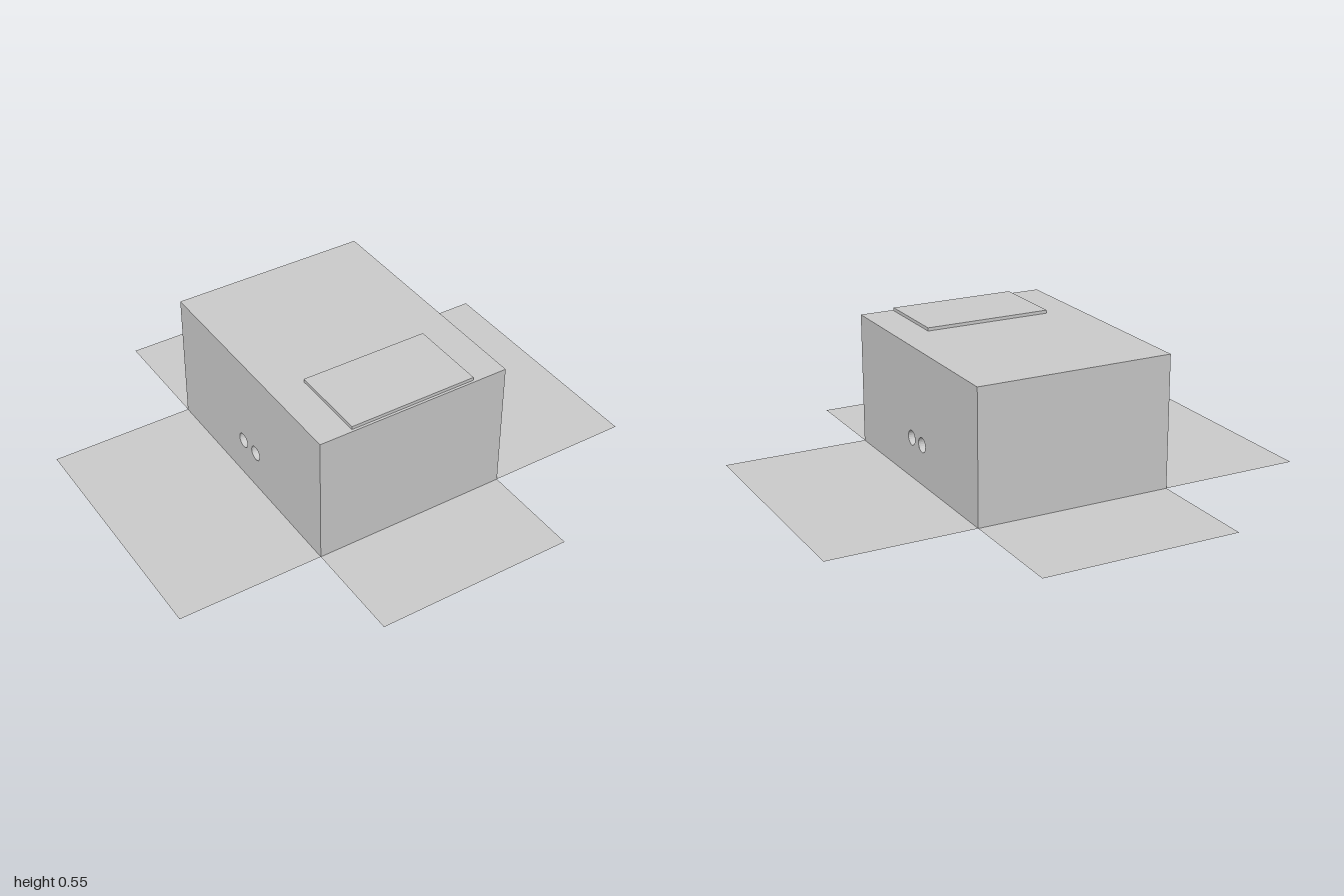
import * as THREE from 'three';

const X0 = -0.41, X1 = 0.4, Z0 = -0.49, Z1 = 0.54, H = 0.54;
const HOLE_R = 0.03, HOLE_Y = 0.165, HOLE_Z = [0.072, -0.02];

export function createModel() {
  const group = new THREE.Group();
  const material = new THREE.MeshStandardMaterial({ color: 0xcccccc, side: THREE.DoubleSide, flatShading: true });
  const add = (name, geometry) => {
    const mesh = new THREE.Mesh(geometry, material);
    mesh.name = name;
    group.add(mesh);
    return mesh;
  };

  // Horizontal sheet between two x and two z limits
  const sheet = (name, x0, x1, z0, z1, y) =>
    add(name, new THREE.PlaneGeometry(x1 - x0, z1 - z0).rotateX(-Math.PI / 2)
      .translate((x0 + x1) / 2, y, (z0 + z1) / 2));

  // Closed top of the upturned carton; the bottom stays open
  sheet('topPanel', X0, X1, Z0, Z1, H);

  // Four flaps folded out flat on the ground
  sheet('leftFlap', X1, 1, Z0, Z1, 0);
  sheet('rightFlap', -1, X0, Z0, Z1, 0);
  sheet('frontFlap', X0, X1, Z1, 0.96, 0);
  sheet('backFlap', X0, X1, Z0 - 0.475, Z0, 0);

  // Plain front and back walls
  for (const [name, z, turn] of [['frontWall', Z1, 0], ['backWall', Z0, Math.PI]]) {
    add(name, new THREE.PlaneGeometry(X1 - X0, H).rotateY(turn).translate((X0 + X1) / 2, H / 2, z));
  }

  // Side walls, each with two round holes lined by short inward sleeves
  for (const [name, x, side] of [['left', X1, 1], ['right', X0, -1]]) {
    const a = side > 0 ? -Z1 : Z0, b = side > 0 ? -Z0 : Z1;
    const shape = new THREE.Shape([[a, 0], [b, 0], [b, H], [a, H]].map(p => new THREE.Vector2(...p)));
    for (const z of HOLE_Z) {
      const hole = new THREE.Path();
      hole.absarc(-side * z, HOLE_Y, HOLE_R, 0, Math.PI * 2, true);
      shape.holes.push(hole);
      const depth = 0.03;
      add(name + 'HoleSleeve', new THREE.CylinderGeometry(HOLE_R, HOLE_R, depth, 24, 1, true)
        .rotateZ(Math.PI / 2).translate(x - side * depth / 2, HOLE_Y, z));
    }
    add(name + 'Wall', new THREE.ShapeGeometry(shape, 24).rotateY(side * Math.PI / 2).translate(x, 0, 0));
  }

  // Thin hatch cover lying near the front edge of the top
  add('hatchCover', new THREE.BoxGeometry(0.53, 0.013, 0.325).translate(-0.005, H + 0.0065, 0.367));

  return group;
}
